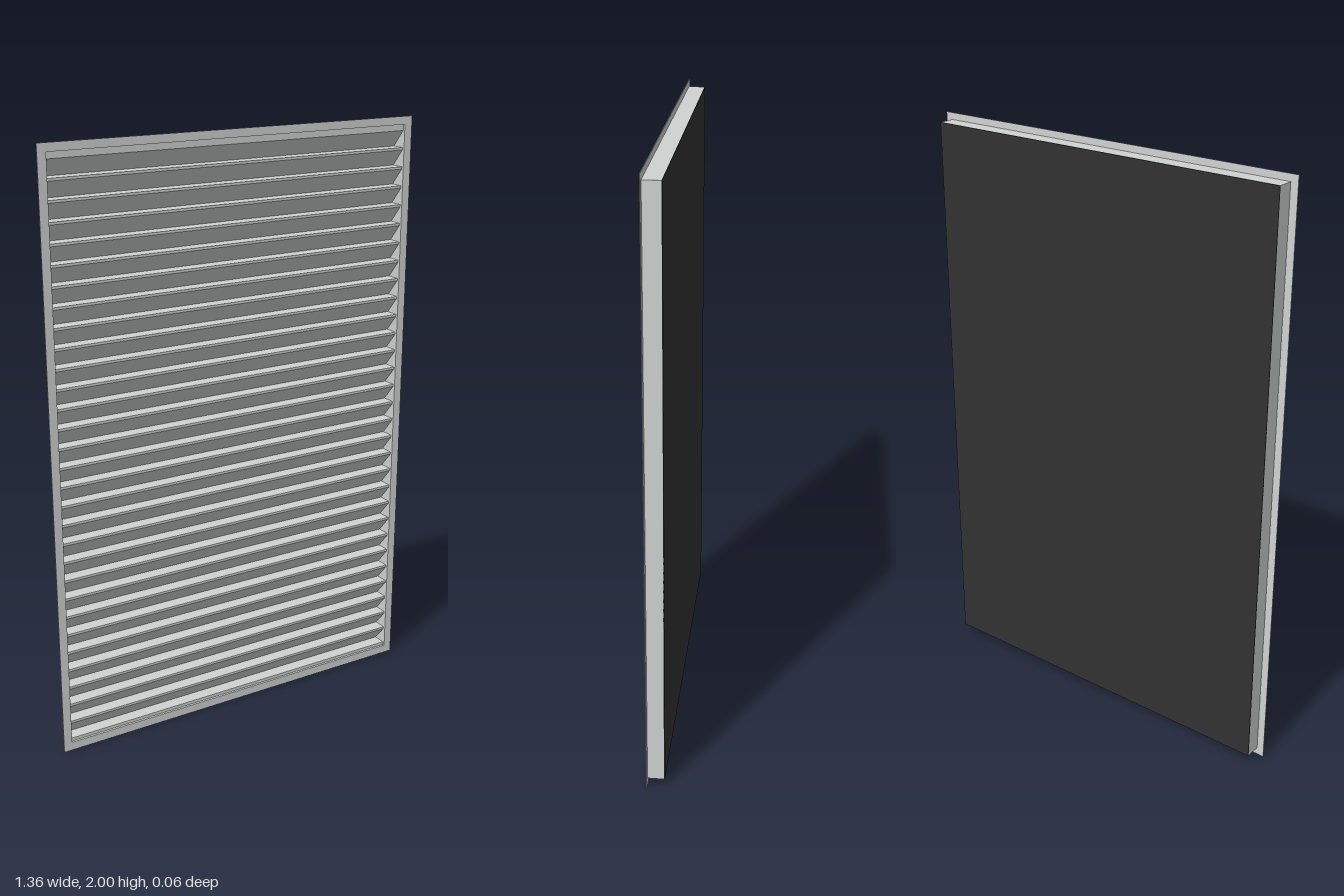
import * as THREE from 'three';

const W = 1.36, H = 2;                 // flange outer size
const HX = 0.655, Y0 = 0.025, Y1 = 1.977; // housing outline
const ZF = 0.029, ZB = -0.029;         // front and back planes
const WALL = 0.004;                    // housing sheet thickness
const BLADES = 30, BLADE_Y0 = 0.04, BLADE_Y1 = 1.96;
const FRONT = 0.021, REAR = -0.0255;   // blade depth range

function material(name, color) {
  const m = new THREE.MeshStandardMaterial({ color });
  m.name = name;
  return m;
}

function rectPath(path, x, y0, y1) {
  path.moveTo(-x, y0);
  path.lineTo(x, y0);
  path.lineTo(x, y1);
  path.lineTo(-x, y1);
  path.closePath();
  return path;
}

// Rectangular ring standing in the xy plane, from z0 to z1
function ring(name, outer, inner, z0, z1, mat) {
  const shape = rectPath(new THREE.Shape(), ...outer);
  shape.holes.push(rectPath(new THREE.Path(), ...inner));
  const geo = new THREE.ExtrudeGeometry(shape, { depth: z1 - z0, bevelEnabled: false });
  const mesh = new THREE.Mesh(geo, mat);
  mesh.name = name;
  mesh.position.z = z0;
  return mesh;
}

// Box between two heights and two depths, centred on x
function bar(name, width, y0, y1, z0, z1, mat) {
  const mesh = new THREE.Mesh(new THREE.BoxGeometry(width, y1 - y0, z1 - z0), mat);
  mesh.name = name;
  mesh.position.set(0, (y0 + y1) / 2, (z0 + z1) / 2);
  return mesh;
}

export function createModel() {
  const group = new THREE.Group();
  group.name = 'louverVent';
  const metal = material('light grey metal', 0xd0d3d2);
  const black = material('panel black', 0x313131);
  const innerX = HX - WALL, innerY0 = Y0 + WALL, innerY1 = Y1 - WALL;

  // Thin mounting flange and the sheet housing behind it
  group.add(ring('flange', [W / 2, 0, H], [innerX, innerY0, innerY1], ZF - 0.002, ZF, metal));
  group.add(ring('housing', [HX, Y0, Y1], [innerX, innerY0, innerY1], ZB + 0.002, ZF - 0.002, metal));

  // Recessed strips above and below the blades
  group.add(bar('header', innerX * 2, BLADE_Y1, innerY1, REAR, FRONT, metal));
  group.add(bar('sill', innerX * 2, innerY0, BLADE_Y0, REAR, FRONT, metal));

  // Closed dark back
  group.add(bar('backPanel', HX * 2, Y0, Y1, ZB, ZB + 0.003, black));

  // Blades: flat top ledge, narrow lip, underside sloping down to the back
  const pitch = (BLADE_Y1 - BLADE_Y0) / BLADES;
  const lip = 0.008;
  const profile = new THREE.Shape([
    new THREE.Vector2(-FRONT, 0),
    new THREE.Vector2(-FRONT, -lip),
    new THREE.Vector2(-REAR, -pitch),
    new THREE.Vector2(-REAR, 0),
  ]);
  const bladeGeo = new THREE.ExtrudeGeometry(profile, { depth: innerX * 2, bevelEnabled: false });
  bladeGeo.rotateY(Math.PI / 2);       // length along x, profile x becomes -z
  bladeGeo.translate(-innerX, 0, 0);
  const blades = new THREE.Group();
  blades.name = 'blades';
  for (let i = 0; i < BLADES; i++) {
    const blade = new THREE.Mesh(bladeGeo, metal);
    blade.name = 'blade';
    blade.position.y = BLADE_Y1 - i * pitch;
    blades.add(blade);
  }
  group.add(blades);
  return group;
}
